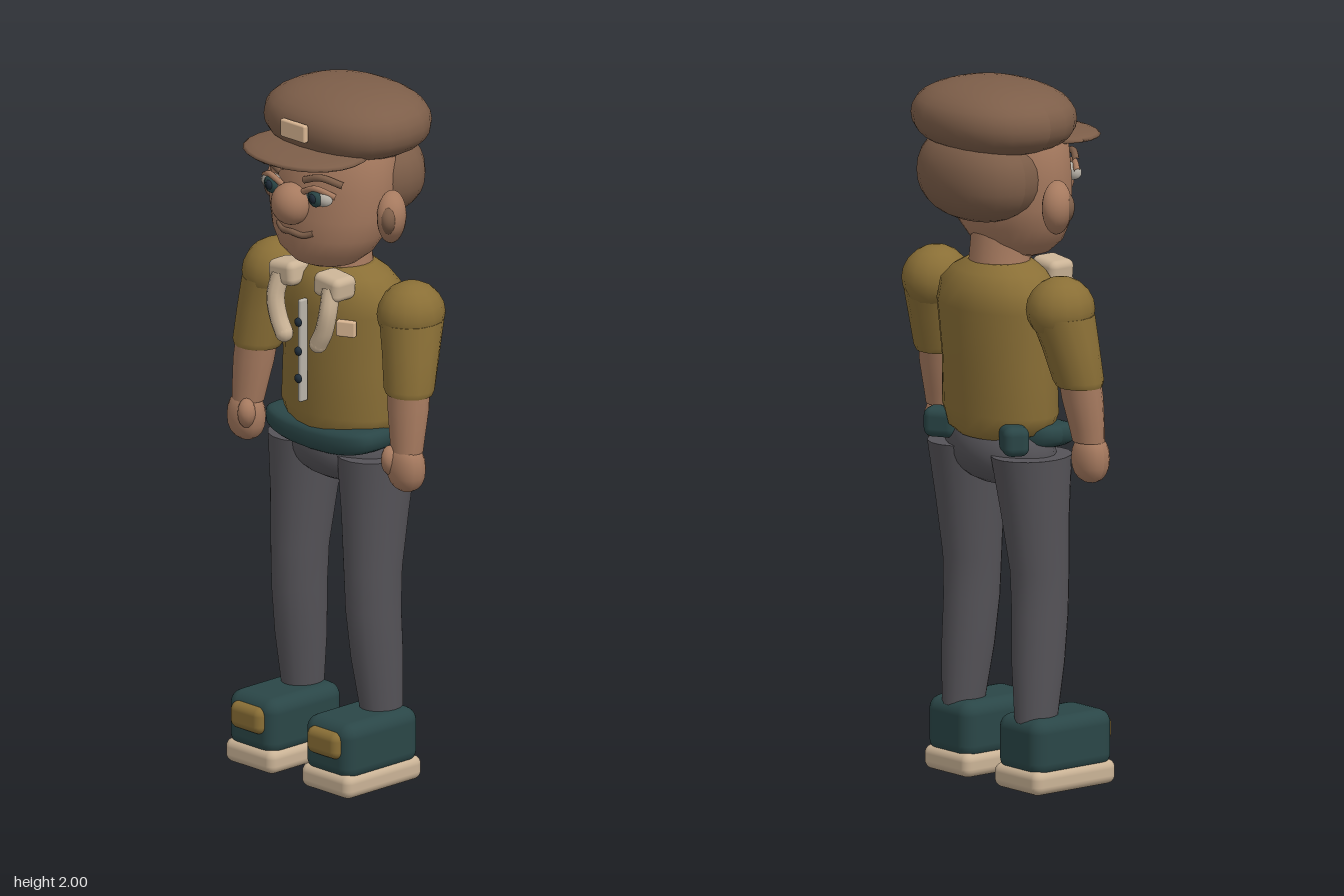
import * as THREE from 'three';
import { RoundedBoxGeometry } from 'three/addons/geometries/RoundedBoxGeometry.js';

const mat = (name, color) => {
  const m = new THREE.MeshStandardMaterial({ color });
  m.name = name;
  return m;
};

// Ellipsoid; a power below 1 makes it boxier
function ball(rx, ry, rz, power = 1, w = 20, h = 14) {
  const g = new THREE.SphereGeometry(1, w, h);
  const p = g.attributes.position;
  const f = (v) => Math.sign(v) * Math.pow(Math.abs(v) < 1e-6 ? 0 : Math.abs(v), power);
  for (let i = 0; i < p.count; i++) p.setXYZ(i, f(p.getX(i)) * rx, f(p.getY(i)) * ry, f(p.getZ(i)) * rz);
  if (power !== 1) g.computeVertexNormals();
  return g;
}

// Closed skin over elliptical rings [y, cx, cz, rx, rz], listed bottom to top
function loft(rings, seg = 20) {
  const first = rings[0], last = rings[rings.length - 1];
  const shrink = (r) => [r[0], r[1], r[2], 0, 0];
  const all = [shrink(first), first, ...rings, last, shrink(last)];
  const pos = [], idx = [];
  all.forEach(([y, cx, cz, rx, rz], i) => {
    for (let j = 0; j < seg; j++) {
      const a = (j / seg) * Math.PI * 2, k = (j + 1) % seg;
      pos.push(cx + Math.cos(a) * rx, y, cz + Math.sin(a) * rz);
      if (i < all.length - 1) {
        const p = i * seg + j, q = i * seg + k;
        idx.push(p, p + seg, q, q, p + seg, q + seg);
      }
    }
  });
  const g = new THREE.BufferGeometry();
  g.setAttribute('position', new THREE.Float32BufferAttribute(pos, 3));
  g.setIndex(idx);
  g.computeVertexNormals();
  return g;
}

const tube = (pts, r) => new THREE.TubeGeometry(
  new THREE.CatmullRomCurve3(pts.map((p) => new THREE.Vector3(...p))), 14, r, 10);
const box = (w, h, d, r) => new RoundedBoxGeometry(w, h, d, 3, r);

export function createModel() {
  const model = new THREE.Group();
  model.name = 'figure';
  const skin = mat('skin', 0xa67a5f), brown = mat('brown', 0x7d5e49), olive = mat('olive', 0x8a6f36);
  const teal = mat('teal', 0x2a4647), grey = mat('trouser grey', 0x555358), cream = mat('cream', 0xcab396);
  const tan = mat('badge tan', 0xd8b592), pale = mat('pale grey', 0xb8b2a8), navy = mat('dark navy', 0x1f2c38);

  const add = (name, geo, material, x = 0, y = 0, z = 0, parent = model) => {
    const m = new THREE.Mesh(geo, material);
    m.name = name;
    m.position.set(x, y, z);
    parent.add(m);
    return m;
  };

  // Torso, neck and hips
  add('shirt', loft([
    [0.99, 0, -0.035, 0.13, 0.105], [1.01, 0, -0.033, 0.175, 0.125], [1.06, 0, -0.032, 0.2, 0.13],
    [1.2, 0, -0.035, 0.19, 0.138], [1.36, 0, -0.04, 0.205, 0.145], [1.42, 0, -0.04, 0.19, 0.138],
    [1.46, 0, -0.035, 0.15, 0.115], [1.485, 0, -0.035, 0.1, 0.085],
  ]), olive);
  add('neck', loft([[1.42, 0, -0.035, 0.1, 0.09], [1.5, 0, -0.035, 0.085, 0.085], [1.58, 0, -0.03, 0.085, 0.08]]), skin);
  add('hips', ball(0.2, 0.1, 0.115), grey, 0, 0.945, -0.03);

  // Belt front, dipping at the middle
  const belt = ball(0.212, 0.042, 0.088, 0.6, 28, 14);
  const bp = belt.attributes.position;
  for (let i = 0; i < bp.count; i++) {
    const t = Math.abs(bp.getX(i)) / 0.212;
    bp.setY(i, bp.getY(i) + 0.022 * t * t - 0.012);
  }
  belt.computeVertexNormals();
  add('beltFront', belt, teal, 0, 1.0, 0.017);

  // Shirt placket and buttons
  add('placket', box(0.014, 0.3, 0.03, 0.006), pale, 0, 1.25, 0.118);
  for (const y of [1.335, 1.25, 1.17]) add('button', ball(0.013, 0.013, 0.008, 1, 12, 8), navy, 0, y, 0.136);
  const chest = add('chestBadge', box(0.056, 0.046, 0.02, 0.005), tan, 0.133, 1.335, 0.078);
  chest.rotation.y = 0.45;

  // Head
  const head = new THREE.Group();
  head.name = 'head';
  model.add(head);
  const onHead = (name, geo, material, x, y, z) => add(name, geo, material, x, y, z, head);
  onHead('skull', loft([
    [1.488, 0, 0.03, 0.05, 0.045], [1.505, 0, 0.03, 0.1, 0.085], [1.54, 0, 0.025, 0.145, 0.12],
    [1.59, 0, 0.015, 0.175, 0.143], [1.65, 0, 0.007, 0.192, 0.152], [1.73, 0, 0.0, 0.198, 0.155],
    [1.82, 0, -0.005, 0.195, 0.15], [1.88, 0, -0.01, 0.16, 0.12],
  ], 28), skin);
  onHead('hair', ball(0.2, 0.135, 0.145, 0.9, 24, 16), brown, 0, 1.74, -0.108);
  onHead('nose', ball(0.06, 0.06, 0.052), skin, 0, 1.69, 0.165);
  onHead('mouth', tube([[-0.07, 1.614, 0.143], [-0.04, 1.603, 0.155], [0, 1.607, 0.162], [0.04, 1.603, 0.155], [0.07, 1.614, 0.143]], 0.009), brown);
  onHead('capCrown', ball(0.247, 0.104, 0.203, 0.88, 24, 16), brown, 0, 1.896, -0.056);
  onHead('capBrim', ball(0.196, 0.019, 0.15, 0.95, 24, 10), brown, 0, 1.832, 0.106).rotation.x = 0.03;
  onHead('capBadge', box(0.098, 0.052, 0.018, 0.006), tan, 0, 1.9, 0.151);

  for (const s of [1, -1]) {
    // Face and ears
    onHead('ear', ball(0.034, 0.077, 0.047), skin, s * 0.221, 1.664, -0.012);
    onHead('innerEar', ball(0.018, 0.042, 0.024), brown, s * 0.235, 1.662, 0.012);
    onHead('eyeWhite', ball(0.05, 0.026, 0.02), pale, s * 0.09, 1.725, 0.141);
    onHead('iris', ball(0.027, 0.026, 0.012), teal, s * 0.087, 1.724, 0.155);
    onHead('pupil', ball(0.014, 0.014, 0.006, 1, 12, 8), navy, s * 0.087, 1.724, 0.164);
    onHead('upperLid', tube([[s * 0.04, 1.732, 0.155], [s * 0.09, 1.752, 0.156], [s * 0.142, 1.732, 0.128]], 0.009), skin);
    onHead('eyebrow', tube([[s * 0.045, 1.768, 0.156], [s * 0.1, 1.784, 0.146], [s * 0.155, 1.766, 0.113]], 0.01), brown);

    // Collar and lapels
    const collar = add('collar', box(0.1, 0.07, 0.085, 0.02), cream, s * 0.09, 1.453, 0.082);
    collar.rotation.z = s * -0.1;
    add('lapel', tube([[s * 0.1, 1.45, 0.105], [s * 0.105, 1.385, 0.122], [s * 0.09, 1.325, 0.124], [s * 0.068, 1.285, 0.124]], 0.026), cream);
    add('lapelTip', ball(0.026, 0.026, 0.026, 1, 12, 8), cream, s * 0.068, 1.285, 0.124);

    // Arms
    const arm = new THREE.Group();
    arm.name = s > 0 ? 'leftArm' : 'rightArm';
    model.add(arm);
    add('shoulder', ball(0.092, 0.092, 0.1, 1, 14, 10), olive, s * 0.27, 1.387, -0.04, arm);
    add('sleeve', loft([
      [1.168, s * 0.304, 0.0, 0.068, 0.062], [1.185, s * 0.302, -0.002, 0.077, 0.068],
      [1.28, s * 0.29, -0.02, 0.082, 0.08], [1.37, s * 0.275, -0.038, 0.086, 0.095],
    ], 14), olive, 0, 0, 0, arm);
    add('forearm', loft([
      [1.01, s * 0.318, 0.022, 0.05, 0.042], [1.05, s * 0.315, 0.018, 0.055, 0.046],
      [1.13, s * 0.309, 0.008, 0.063, 0.055], [1.2, s * 0.303, 0, 0.064, 0.057],
    ], 14), skin, 0, 0, 0, arm);
    add('hand', ball(0.06, 0.07, 0.047, 0.9, 14, 10), skin, s * 0.32, 0.962, 0.027, arm);
    add('thumb', ball(0.026, 0.043, 0.026, 1, 12, 8), skin, s * 0.287, 0.982, 0.058, arm);

    // Back pocket
    add('backPocket', box(0.1, 0.085, 0.075, 0.025), teal, s * 0.155, 1.005, -0.112).rotation.y = s * 0.5;

    // Legs
    add('trouserLeg', loft([
      [0.18, s * 0.158, -0.036, 0.054, 0.062], [0.36, s * 0.152, -0.022, 0.068, 0.079],
      [0.5, s * 0.148, -0.012, 0.073, 0.084], [0.62, s * 0.146, -0.012, 0.079, 0.086],
      [0.78, s * 0.142, -0.024, 0.09, 0.1], [0.95, s * 0.138, -0.035, 0.104, 0.12],
    ], 18), grey);

    // Shoes
    add('shoe', box(0.188, 0.165, 0.285, 0.04), teal, s * 0.153, 0.13, 0.038);
    add('sole', box(0.197, 0.07, 0.296, 0.025), cream, s * 0.152, 0.035, 0.038);
    add('toePatch', box(0.127, 0.078, 0.05, 0.024), olive, s * 0.153, 0.15, 0.175);
  }
  return model;
}
